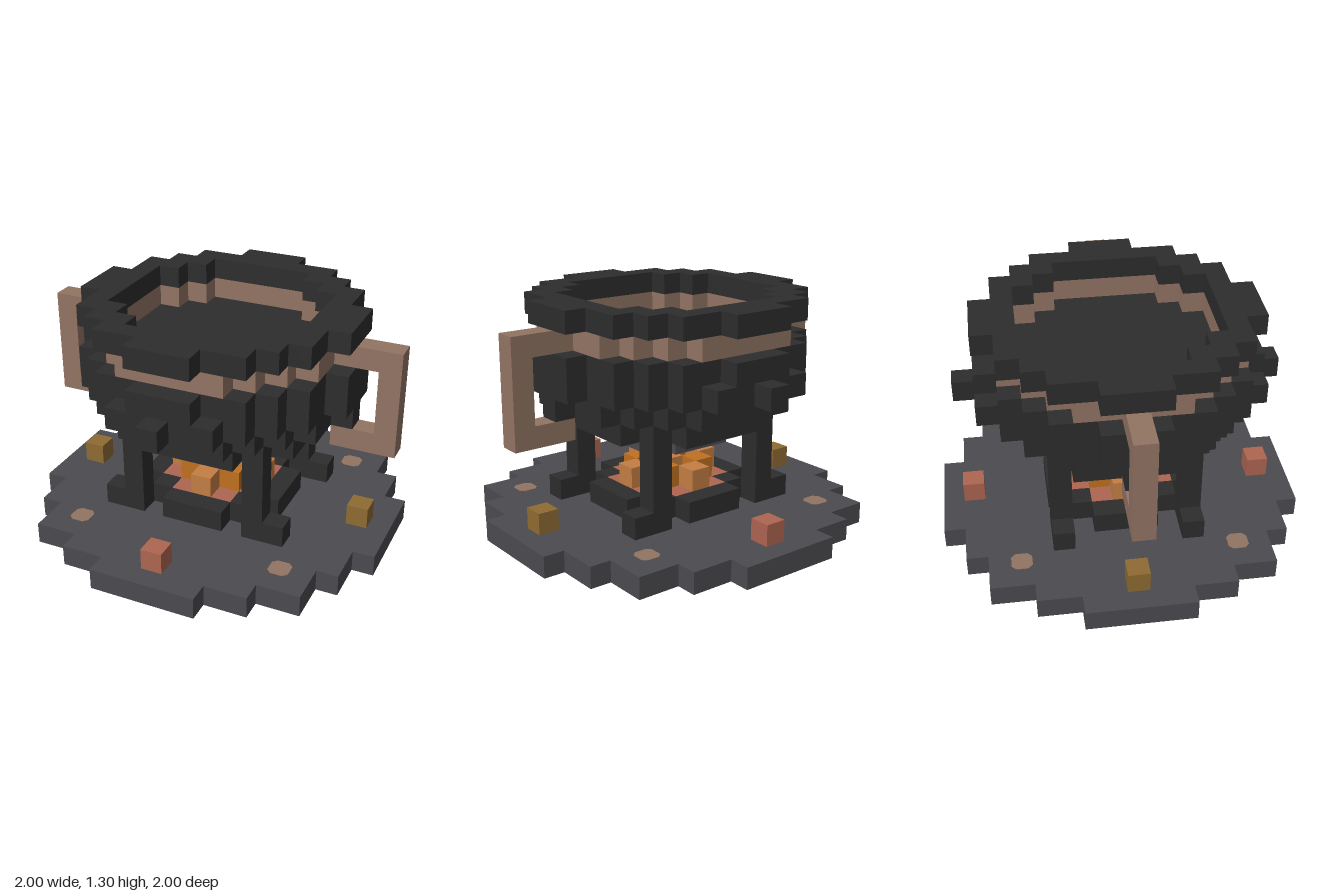
import * as THREE from 'three';

const U = 2 / 17; // one block

const mat = (name, color) => {
  const m = new THREE.MeshStandardMaterial({ color });
  m.name = name;
  return m;
};

export function createModel() {
  const stone = mat('grey stone', 0x4b4a4f);
  const iron = mat('black iron', 0x2d2d2d);
  const bronze = mat('bronze', 0x927463);
  const ember = mat('ember red', 0xae6551);
  const gold = mat('old gold', 0x8e6b33);
  const flame = mat('light flame', 0xc47e43);
  const deepFlame = mat('deep flame', 0xc07020);

  const model = new THREE.Group();
  model.name = 'cauldron';

  const add = (name, geometry, material) => {
    const mesh = new THREE.Mesh(geometry, material);
    mesh.name = name;
    model.add(mesh);
    return mesh;
  };

  // Box given by centre cell, lowest layer and size, all in blocks
  const block = (name, material, x, layer, z, w = 1, h = 1, d = 1) => {
    const mesh = add(name, new THREE.BoxGeometry(w * U, h * U, d * U), material);
    mesh.position.set(x * U, (layer + h / 2) * U, z * U);
  };

  // Stepped circle outline: every cell with x² + z² <= r2
  const steppedCircle = (r2) => {
    const n = Math.floor(Math.sqrt(r2));
    const right = [];
    for (let z = -n; z <= n; z++) {
      const w = (Math.floor(Math.sqrt(r2 - z * z)) + 0.5) * U;
      right.push(new THREE.Vector2(w, (z - 0.5) * U), new THREE.Vector2(w, (z + 0.5) * U));
    }
    const left = right.map((p) => new THREE.Vector2(-p.x, p.y)).reverse();
    return [...right, ...left];
  };

  // Stepped disc or ring
  const disc = (name, material, layer, r2, h = 1, holeR2 = 0) => {
    const shape = new THREE.Shape(steppedCircle(r2));
    if (holeR2) shape.holes.push(new THREE.Path(steppedCircle(holeR2)));
    const geo = new THREE.ExtrudeGeometry(shape, { depth: h * U, bevelEnabled: false });
    geo.rotateX(Math.PI / 2);
    geo.translate(0, (layer + h) * U, 0);
    add(name, geo, material);
  };

  // Base and fire pit
  disc('base', stone, 0, 72);
  disc('firePitRim', iron, 1, 12, 1, 6);
  disc('embers', ember, 1, 6);
  block('flameCentre', flame, 0, 2, 0);
  for (const s of [-1, 1]) {
    block('flameSide', flame, 2 * s, 2, 0);
    block('flameFrontBack', flame, 0, 2, 2 * s);
    for (const t of [-1, 1]) block('flameInner', deepFlame, s, 2, t);
  }

  // Bowl, from its underside to the rim
  disc('bowlUnderside', stone, 4, 6);
  disc('bowlBottom', iron, 5, 20);
  disc('bowlLower', iron, 6, 30);
  disc('bowlBelly', iron, 7, 38, 2);
  disc('neckBand', bronze, 9, 30, 1, 20);
  disc('rim', iron, 10, 38, 1, 20);

  // Bronze studs set through the base
  const a = 0.48 * U, c = 0.28 * U;
  const studShape = new THREE.Shape([
    [a, -c], [a, c], [c, a], [-c, a], [-a, c], [-a, -c], [-c, -a], [c, -a],
  ].map(([x, y]) => new THREE.Vector2(x, y)));
  const studGeo = new THREE.ExtrudeGeometry(studShape, { depth: U + 0.006, bevelEnabled: false });
  studGeo.rotateX(Math.PI / 2);
  const stud = (x, z) => add('stud', studGeo, bronze).position.set(x * U, U + 0.003, z * U);

  for (const s of [-1, 1]) {
    // Legs with feet turned outward
    for (const t of [-1, 1]) {
      block('leg', iron, 3 * s, 2, 3 * t, 1, 3, 1);
      block('foot', iron, 3.5 * s, 1, 3 * t, 2, 1, 1);
      block('bowlBoss', iron, 2 * s, 7, 6 * t);
      stud(5 * s, 5 * t);
    }
    stud(7 * s, 0);
    stud(0, 7 * s);

    // Front and back knobs, side lugs
    block('knob', iron, 0, 7, 7 * s);
    block('handleLug', iron, 6 * s, 6, 0);

    // Side handles
    block('handleTop', bronze, 6.5 * s, 9, 0, 2, 1, 1);
    block('handleGrip', bronze, 8 * s, 5, 0, 1, 5, 1);
    block('handleBottom', bronze, 6.5 * s, 5, 0, 2, 1, 1);

    // Marker stones on the base
    block('goldMarker', gold, 7 * s, 1, 0);
    block('redMarker', ember, 0, 1, 7 * s);
  }

  return model;
}
